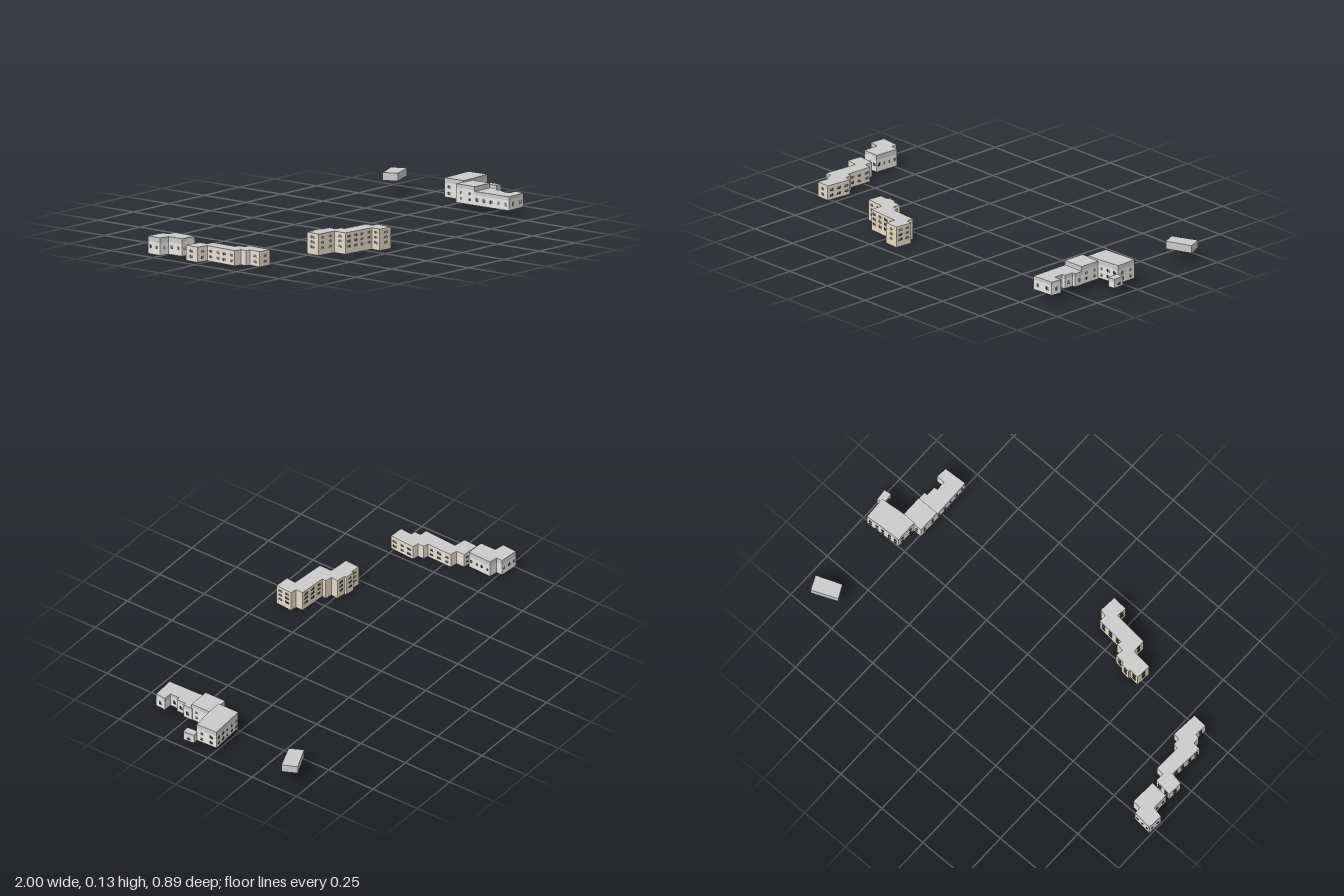
import * as THREE from 'three';

const mat = (color) => new THREE.MeshStandardMaterial({ color, side: THREE.DoubleSide, flatShading: true });

const rect = (T, x, y, w, h) => {
  const s = new T();
  s.moveTo(x, y);
  s.lineTo(x + w, y);
  s.lineTo(x + w, y + h);
  s.lineTo(x, y + h);
  s.closePath();
  return s;
};

export function createModel() {
  const root = new THREE.Group();
  const grey = mat(0xcccccc), glass = mat(0x777777);
  const white = mat(0xe8e6e2), beige = mat(0xe6ded2), sand = mat(0xe4dcc6);

  // One facade from a to b: a sheet pierced by window rows, with recessed panes
  function wall(a, b, y0, y1, material, win) {
    const dx = b[0] - a[0], dz = b[1] - a[1], len = Math.hypot(dx, dz);
    const facade = new THREE.Group();
    facade.name = 'facade';
    facade.position.set(b[0], 0, b[1]);
    facade.rotation.y = Math.atan2(dz, -dx);
    const sheet = rect(THREE.Shape, 0, y0, len, y1 - y0);
    const panes = [];
    if (win && len > 0.045) {
      const n = Math.max(1, Math.floor((len - 0.012) / win.pitch));
      for (let i = 0; i < n; i++) {
        const x = len * (i + 0.5) / n - win.w / 2;
        for (const y of win.rows) {
          sheet.holes.push(rect(THREE.Path, x, y - win.h / 2, win.w, win.h));
          panes.push(rect(THREE.Shape, x, y - win.h / 2, win.w, win.h));
        }
      }
    }
    const face = new THREE.Mesh(new THREE.ShapeGeometry(sheet), material);
    face.name = 'wall';
    facade.add(face);
    if (panes.length) {
      const glazing = new THREE.Mesh(new THREE.ShapeGeometry(panes), glass);
      glazing.name = 'windows';
      glazing.position.z = -0.002;
      facade.add(glazing);
    }
    return facade;
  }

  // Building shell: walls from y0 to eave, grey roof band up to y1, flat roof, open base
  function building(name, outline, { y0, eave, y1, material, win }) {
    const g = new THREE.Group();
    g.name = name;
    outline.forEach((a, i) => {
      const b = outline[(i + 1) % outline.length];
      g.add(wall(a, b, y0, eave, material, win));
      if (y1 > eave) {
        const band = wall(a, b, eave, y1, grey);
        band.name = 'roofBand';
        g.add(band);
      }
    });
    const top = new THREE.ShapeGeometry(new THREE.Shape(outline.map(([x, z]) => new THREE.Vector2(x, -z))));
    top.rotateX(-Math.PI / 2);
    const roof = new THREE.Mesh(top, grey);
    roof.name = 'roof';
    roof.position.y = y1;
    g.add(roof);
    root.add(g);
    return g;
  }

  // Triangular gable panel standing just proud of the roof band
  function gable(parent, a, b, eave, peak) {
    const dx = b[0] - a[0], dz = b[1] - a[1], len = Math.hypot(dx, dz);
    const s = new THREE.Shape();
    s.moveTo(0, eave);
    s.lineTo(len, eave);
    s.lineTo(len / 2, peak);
    const m = new THREE.Mesh(new THREE.ShapeGeometry(s), white);
    m.name = 'gable';
    m.position.set(b[0] + dz / len * 0.002, 0, b[1] - dx / len * 0.002);
    m.rotation.y = Math.atan2(dz, -dx);
    parent.add(m);
  }

  // Outlines run clockwise as seen from above, as [x, z]
  const rear = building('rearLeftHouse', [
    [-0.995, -0.285], [-0.9, -0.275], [-0.9, -0.243], [-0.858, -0.238],
    [-0.863, -0.115], [-0.95, -0.12], [-0.95, -0.2], [-1, -0.21],
  ], { y0: 0.015, eave: 0.073, y1: 0.097, material: white,
    win: { rows: [0.05], pitch: 0.024, w: 0.011, h: 0.014 } });
  gable(rear, [-0.863, -0.115], [-0.95, -0.12], 0.073, 0.095);

  building('steppedBlock', [
    [-0.95, -0.097], [-0.863, -0.088], [-0.863, -0.045], [-0.826, -0.04],
    [-0.83, 0.093], [-0.805, 0.098], [-0.805, 0.13], [-0.773, 0.136],
    [-0.783, 0.265], [-0.853, 0.26], [-0.848, 0.2], [-0.87, 0.195],
    [-0.87, 0.163], [-0.907, 0.158], [-0.896, -0.013], [-0.955, -0.024],
  ], { y0: 0, eave: 0.071, y1: 0.071, material: beige,
    win: { rows: [0.048, 0.022], pitch: 0.032, w: 0.019, h: 0.011 } });

  building('middleBlock', [
    [-0.473, 0.222], [-0.425, 0.227], [-0.425, 0.216], [-0.377, 0.222],
    [-0.377, 0.232], [-0.329, 0.238], [-0.334, 0.275], [-0.297, 0.28],
    [-0.302, 0.302], [-0.163, 0.313], [-0.163, 0.35], [-0.131, 0.355],
    [-0.137, 0.441], [-0.211, 0.436], [-0.206, 0.387], [-0.377, 0.371],
    [-0.377, 0.307], [-0.478, 0.297],
  ], { y0: 0, eave: 0.1, y1: 0.1, material: sand,
    win: { rows: [0.082, 0.059, 0.035], pitch: 0.033, w: 0.02, h: 0.011 } });

  // Right-hand complex: three joined parts stepping up, and a small annex
  building('northWing', [
    [0.778, -0.01], [0.96, -0.02], [0.965, 0.088], [0.845, 0.1], [0.778, 0.1],
  ], { y0: 0.04, eave: 0.107, y1: 0.13, material: white,
    win: { rows: [0.09, 0.06], pitch: 0.034, w: 0.014, h: 0.013 } });

  building('middleWing', [[0.735, 0.095], [0.845, 0.095], [0.845, 0.205], [0.735, 0.205]],
    { y0: 0.035, eave: 0.104, y1: 0.122, material: white,
      win: { rows: [0.086, 0.058], pitch: 0.034, w: 0.012, h: 0.012 } });

  const south = building('southWing', [
    [0.735, 0.2], [0.848, 0.2], [0.848, 0.248], [0.832, 0.248], [0.832, 0.297],
    [0.815, 0.297], [0.815, 0.345], [0.858, 0.345], [0.853, 0.398], [0.74, 0.405],
  ], { y0: 0.035, eave: 0.083, y1: 0.1, material: white,
    win: { rows: [0.062], pitch: 0.034, w: 0.013, h: 0.016 } });
  gable(south, [0.858, 0.345], [0.853, 0.398], 0.083, 0.096);

  building('annex', [[0.955, 0.088], [0.992, 0.083], [0.997, 0.14], [0.96, 0.145]],
    { y0: 0.042, eave: 0.072, y1: 0.086, material: white,
      win: { rows: [0.058], pitch: 0.03, w: 0.02, h: 0.012 } });

  // Plain raised block at the back
  building('backBlock', [[0.8, -0.398], [0.922, -0.451], [0.954, -0.382], [0.832, -0.334]],
    { y0: 0.063, eave: 0.1, y1: 0.1, material: grey });

  return root;
}
